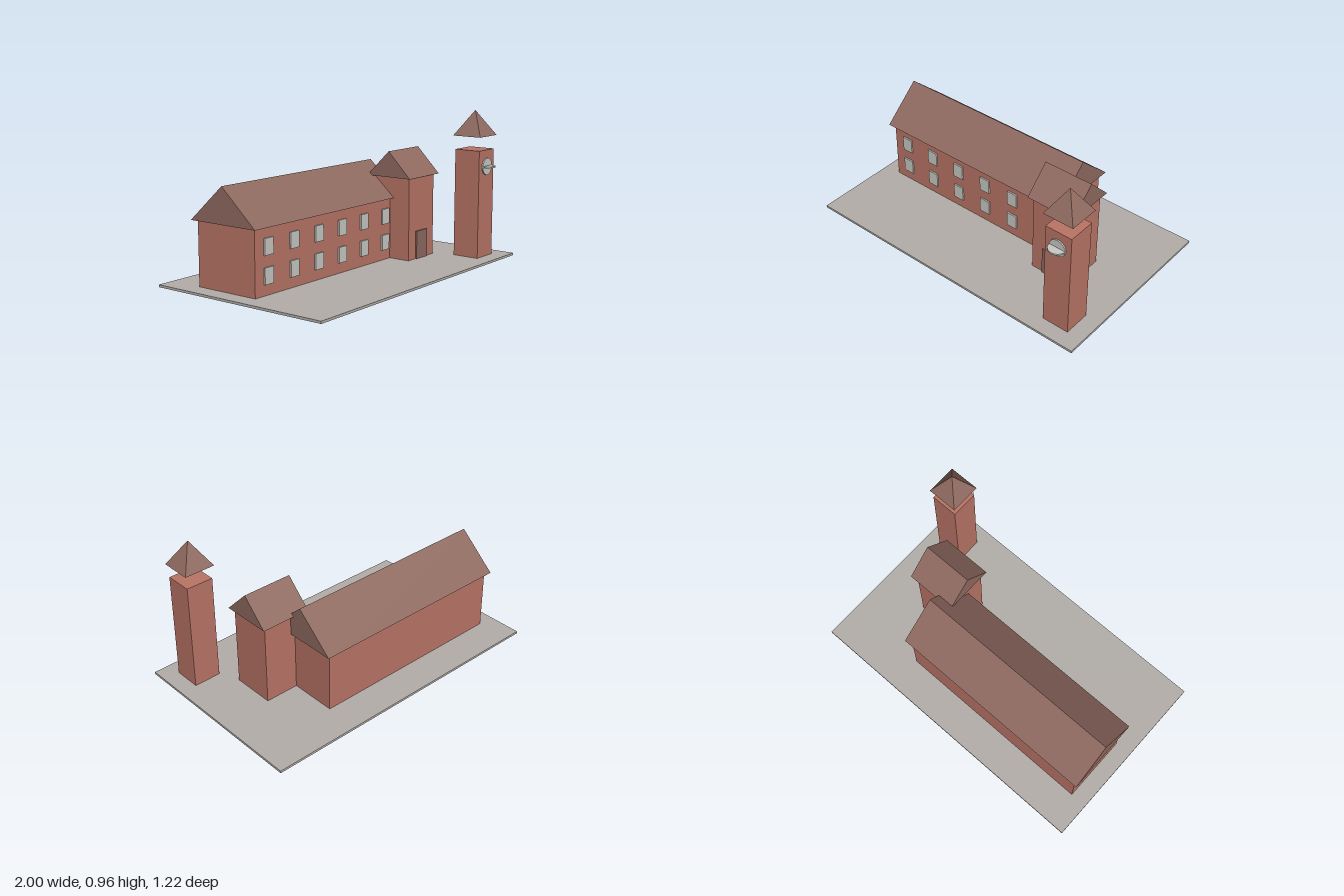
import * as THREE from 'three';

function material(name, color) {
  const m = new THREE.MeshStandardMaterial({ color });
  m.name = name;
  return m;
}

export function createModel() {
  const model = new THREE.Group();
  model.name = 'schoolhouse';
  const brick = material('brick', 0xba7566);
  const roofBrown = material('roofBrown', 0x8f6a60);
  const stone = material('stone', 0xb3aea9);
  const pale = material('paleGlass', 0xc9c9c5);

  function add(name, geometry, mat, parent = model) {
    const mesh = new THREE.Mesh(geometry, mat);
    mesh.name = name;
    parent.add(mesh);
    return mesh;
  }

  // Box given by its minimum and maximum on each axis
  function block(name, [x0, x1], [y0, y1], [z0, z1], mat, parent) {
    const mesh = add(name, new THREE.BoxGeometry(x1 - x0, y1 - y0, z1 - z0), mat, parent);
    mesh.position.set((x0 + x1) / 2, (y0 + y1) / 2, (z0 + z1) / 2);
    return mesh;
  }

  // Closed triangular prism with its ridge along x
  function gableRoof(name, [x0, x1], [y0, y1], [z0, z1]) {
    const half = (z1 - z0) / 2;
    const shape = new THREE.Shape();
    shape.moveTo(-half, 0);
    shape.lineTo(half, 0);
    shape.lineTo(0, y1 - y0);
    shape.closePath();
    const geometry = new THREE.ExtrudeGeometry(shape, { depth: x1 - x0, bevelEnabled: false });
    geometry.rotateY(Math.PI / 2);
    add(name, geometry, roofBrown).position.set(x0, y0, (z0 + z1) / 2);
  }

  // Ground slab
  block('groundSlab', [-1, 1], [0, 0.015], [-0.61, 0.61], stone);

  // Long main hall
  block('mainHallWalls', [-0.89, 0.44], [0.015, 0.41], [-0.387, 0.05], brick);
  gableRoof('mainHallRoof', [-0.918, 0.47], [0.41, 0.63], [-0.415, 0.08]);

  // Two rows of windows along the front
  const windows = new THREE.Group();
  windows.name = 'windows';
  model.add(windows);
  for (const y of [0.08, 0.248]) {
    for (let i = 0; i < 6; i++) {
      const x = -0.78 + i * 0.222;
      block('window', [x - 0.037, x + 0.037], [y, y + 0.098], [0.045, 0.06], pale, windows);
    }
  }

  // Entrance wing with its door
  block('entranceWalls', [0.387, 0.663], [0.015, 0.545], [-0.082, 0.197], brick);
  gableRoof('entranceRoof', [0.36, 0.69], [0.545, 0.71], [-0.11, 0.22]);
  block('door', [0.466, 0.584], [0.015, 0.196], [0.19, 0.206], roofBrown);

  // Free-standing tower with a raised pyramid cap
  const tx = 0.804, tz = 0.418;
  block('towerWalls', [tx - 0.089, tx + 0.089], [0.015, 0.71], [tz - 0.089, tz + 0.089], brick);
  const cap = new THREE.ConeGeometry(0.101 * Math.SQRT2, 0.162, 4).toNonIndexed();
  cap.rotateY(Math.PI / 4);
  cap.computeVertexNormals();
  add('towerCap', cap, roofBrown).position.set(tx, 0.879, tz);

  // Upright clock face crossed by a level disc
  const disc = new THREE.CylinderGeometry(0.055, 0.055, 0.009, 32);
  const face = add('clockFace', disc, pale);
  face.rotation.x = Math.PI / 2;
  face.position.set(tx, 0.604, 0.511);
  add('clockShelf', disc, pale).position.set(tx, 0.604, 0.513);

  return model;
}
